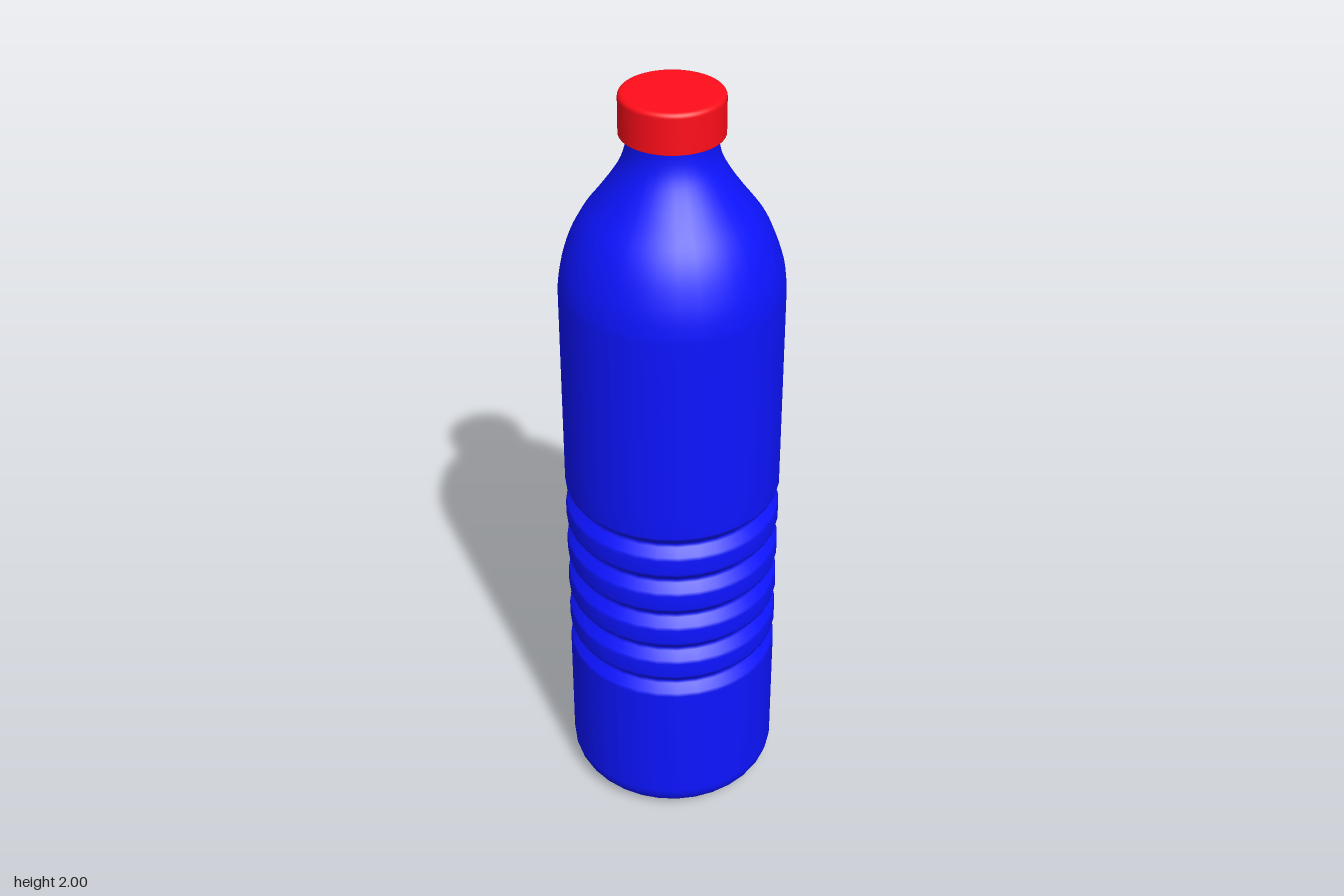
import * as THREE from 'three';

const R = 0.275; // body radius

function lathe(name, points, segments, color) {
  const geometry = new THREE.LatheGeometry(points, segments);
  const mesh = new THREE.Mesh(geometry, new THREE.MeshStandardMaterial({ color }));
  mesh.name = name;
  return mesh;
}

// Quarter-round from angle a0 to a1 about (cx, cy)
function arc(cx, cy, r, a0, a1, steps) {
  return Array.from({ length: steps + 1 }, (_, i) => {
    const a = a0 + (a1 - a0) * i / steps;
    return new THREE.Vector2(cx + r * Math.cos(a), cy + r * Math.sin(a));
  });
}

export function createModel() {
  const group = new THREE.Group();
  group.name = 'bottle';
  const v = (x, y) => new THREE.Vector2(x, y);

  // Flat base with a rounded lower edge
  const body = [v(0, 0), v(0.19, 0), ...arc(R - 0.075, 0.075, 0.075, -Math.PI / 2, 0, 8)];

  // Five grip grooves, each with softened lips
  for (let i = 0; i < 5; i++) {
    const y = 0.452 + i * 0.1125;
    body.push(
      v(R, y - 0.036), v(R - 0.003, y - 0.026), v(R - 0.022, y - 0.007),
      v(R - 0.025, y),
      v(R - 0.022, y + 0.007), v(R - 0.003, y + 0.026), v(R, y + 0.036));
  }

  // Straight wall, curved shoulder and neck
  const shoulder = new THREE.SplineCurve([
    v(R, 1.5), v(0.267, 1.56), v(0.245, 1.63), v(0.217, 1.685), v(0.18, 1.735),
    v(0.145, 1.785), v(0.12, 1.83), v(0.109, 1.87), v(0.108, 1.91),
  ]);
  body.push(v(R, 1.0), v(R, 1.4), ...shoulder.getPoints(24), v(0.108, 1.96));
  group.add(lathe('body', body, 32, 0x0d14ff));

  // Screw cap with a small rounded top edge; repeated points keep the lower rim sharp
  const cap = [
    v(0, 1.9), v(0.1245, 1.9), v(0.125, 1.9), v(0.125, 1.901),
    ...arc(0.113, 1.988, 0.012, 0, Math.PI / 2, 5), v(0.11, 2), v(0, 2),
  ];
  group.add(lathe('cap', cap, 64, 0xff0d1a));

  return group;
}
